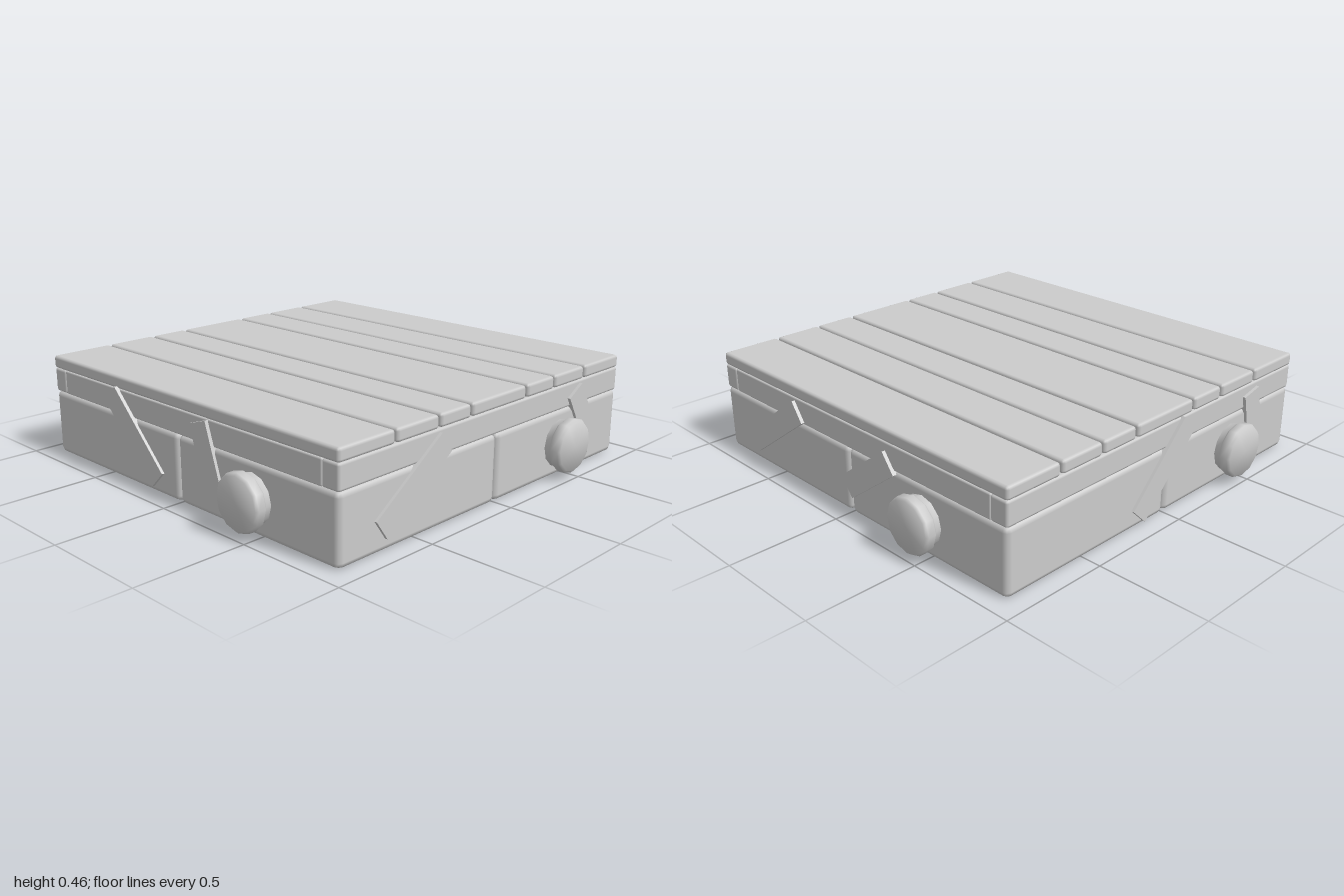
import * as THREE from 'three';
import { RoundedBoxGeometry } from 'three/addons/geometries/RoundedBoxGeometry.js';
import { toCreasedNormals } from 'three/addons/utils/BufferGeometryUtils.js';

const material = new THREE.MeshStandardMaterial({ color: 0xcccccc });

// Box with one soft chamfer; the size is enlarged a little because a single
// rounding step pulls the faces inward.
function chamferBox(name, w, h, d, r, x, y, z) {
  const g = 0.19 * r;
  const mesh = new THREE.Mesh(new RoundedBoxGeometry(w + g, h + g, d + g, 1, r), material);
  mesh.name = name;
  mesh.position.set(x, y, z);
  return mesh;
}

// Round plug with a narrow neck and a wider head, pointing to +z
function makePlug() {
  const profile = [
    [0.107, 0.89], [0.107, 0.94], [0.114, 0.947], [0.122, 0.955],
    [0.122, 0.988], [0.112, 1.0], [0, 1.0],
  ].map(([r, y]) => new THREE.Vector2(r, y));
  const geometry = toCreasedNormals(new THREE.LatheGeometry(profile, 12), 0.9);
  geometry.rotateX(Math.PI / 2);
  const plug = new THREE.Mesh(geometry, material);
  plug.name = 'plug';
  plug.position.set(0.457, 0.148, 0);
  return plug;
}

// Flat strap nailed to a side: centre u, height y, length, tilt in degrees
function makeStrap(u, y, length, tilt) {
  const strap = new THREE.Mesh(new THREE.BoxGeometry(length, 0.105, 0.024), material);
  strap.name = 'strap';
  strap.position.set(u, y, 0.917);
  strap.rotation.z = THREE.MathUtils.degToRad(tilt);
  return strap;
}

export function createModel() {
  const model = new THREE.Group();
  model.name = 'floatingPlatform';

  // Four float blocks
  for (const x of [-1, 1]) {
    for (const z of [-1, 1]) {
      model.add(chamferBox('floatBlock', 0.911, 0.294, 0.911, 0.025, x * 0.458, 0.147, z * 0.458));
    }
  }

  // Frame rails: long ones at front and back, the others butted between them
  for (const s of [-1, 1]) {
    model.add(chamferBox('endRail', 1.826, 0.108, 0.085, 0.012, 0, 0.349, s * 0.871));
    model.add(chamferBox('sideRail', 0.085, 0.108, 1.658, 0.008, s * 0.87, 0.349, 0));
  }

  // Deck planks of uneven width
  const planks = [
    [-0.915, -0.622], [-0.61, -0.374], [-0.36, -0.179], [-0.165, 0.19],
    [0.205, 0.394], [0.406, 0.626], [0.64, 0.913],
  ];
  for (const [a, b] of planks) {
    model.add(chamferBox('deckPlank', b - a, 0.056, 1.83, 0.014, (a + b) / 2, 0.432, 0));
  }

  // Plug and straps on each side, going round from the front
  const sides = [
    ['frontFittings', [-0.52, 0.22, 0.445, 35], [0.639, 0.22, 0.333, -59.5]],
    ['leftFittings', [-0.52, 0.22, 0.445, 35], [0.132, 0.222, 0.345, 36.5]],
    ['backFittings', [-0.02, 0.21, 0.445, 46], [0.628, 0.205, 0.333, -77]],
    ['rightFittings', [-0.295, 0.22, 0.445, -45], [0.2, 0.225, 0.335, -72]],
  ];
  sides.forEach(([name, ...straps], i) => {
    const side = new THREE.Group();
    side.name = name;
    side.add(makePlug(), ...straps.map((s) => makeStrap(...s)));
    side.rotation.y = (i * Math.PI) / 2;
    model.add(side);
  });

  return model;
}
